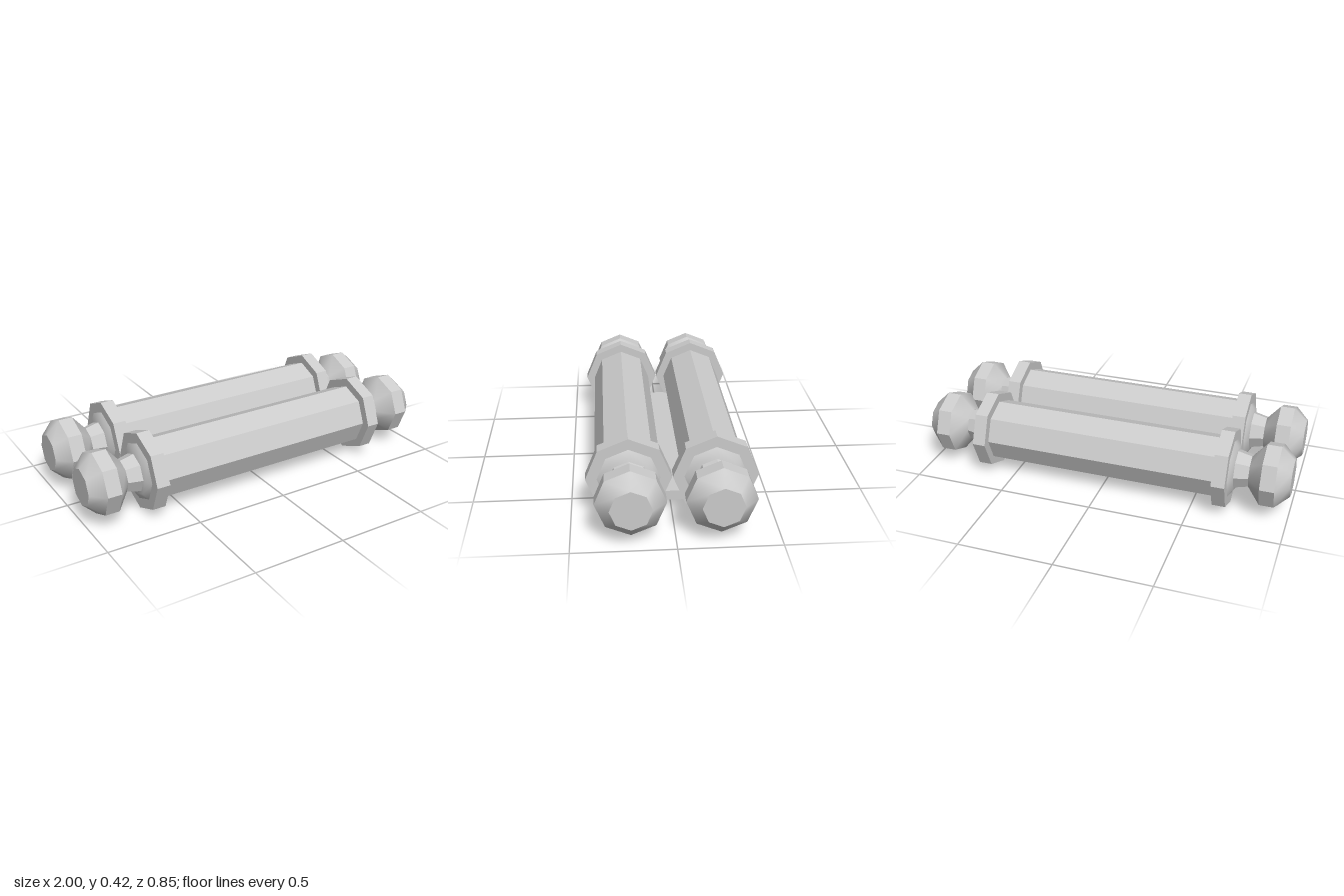
import * as THREE from 'three';
import { toCreasedNormals } from 'three/addons/utils/BufferGeometryUtils.js';

const AXIS_Y = 0.212;
const AXIS_Z = 0.213;
const SIDES = 8;
const material = new THREE.MeshStandardMaterial({ color: 0xcccccc });

// Eight-sided solid turned around the x axis from [x, radius] pairs
function turned(name, profile) {
  const points = profile.map(([x, r]) => new THREE.Vector2(r, x));
  const geometry = new THREE.LatheGeometry(points, SIDES).rotateZ(-Math.PI / 2);
  const mesh = new THREE.Mesh(toCreasedNormals(geometry, 0.65), material);
  mesh.name = name;
  return mesh;
}

// Flange, neck and knob at one end of a bar
function createEnd() {
  const end = new THREE.Group();
  end.name = 'barEnd';
  end.add(
    turned('flange', [[0.62, 0], [0.62, 0.211], [0.69, 0.211], [0.69, 0]]),
    turned('collar', [[0.68, 0], [0.68, 0.155], [0.69, 0.155], [0.712, 0.12], [0.712, 0]]),
    turned('knob', [
      [0.70, 0], [0.70, 0.106], [0.785, 0.085],
      [0.855, 0.169], [0.93, 0.169], [1, 0.101], [1, 0],
    ]),
  );
  return end;
}

function createBar() {
  const bar = new THREE.Group();
  bar.name = 'bar';
  bar.add(turned('shaft', [[-0.63, 0], [-0.63, 0.165], [0.63, 0.165], [0.63, 0]]));
  const leftEnd = createEnd();
  const rightEnd = createEnd();
  rightEnd.rotation.y = Math.PI;
  bar.add(leftEnd, rightEnd);
  return bar;
}

export function createModel() {
  const model = new THREE.Group();
  model.name = 'twinBars';

  for (const side of [-1, 1]) {
    const bar = createBar();
    bar.position.set(0, AXIS_Y, side * AXIS_Z);
    model.add(bar);
  }

  // Flat plate joining the undersides of the bars
  const plate = new THREE.Mesh(new THREE.BoxGeometry(1.25, 0.051, 2 * AXIS_Z), material);
  plate.name = 'joiningPlate';
  plate.position.y = 0.073;
  model.add(plate);

  return model;
}
